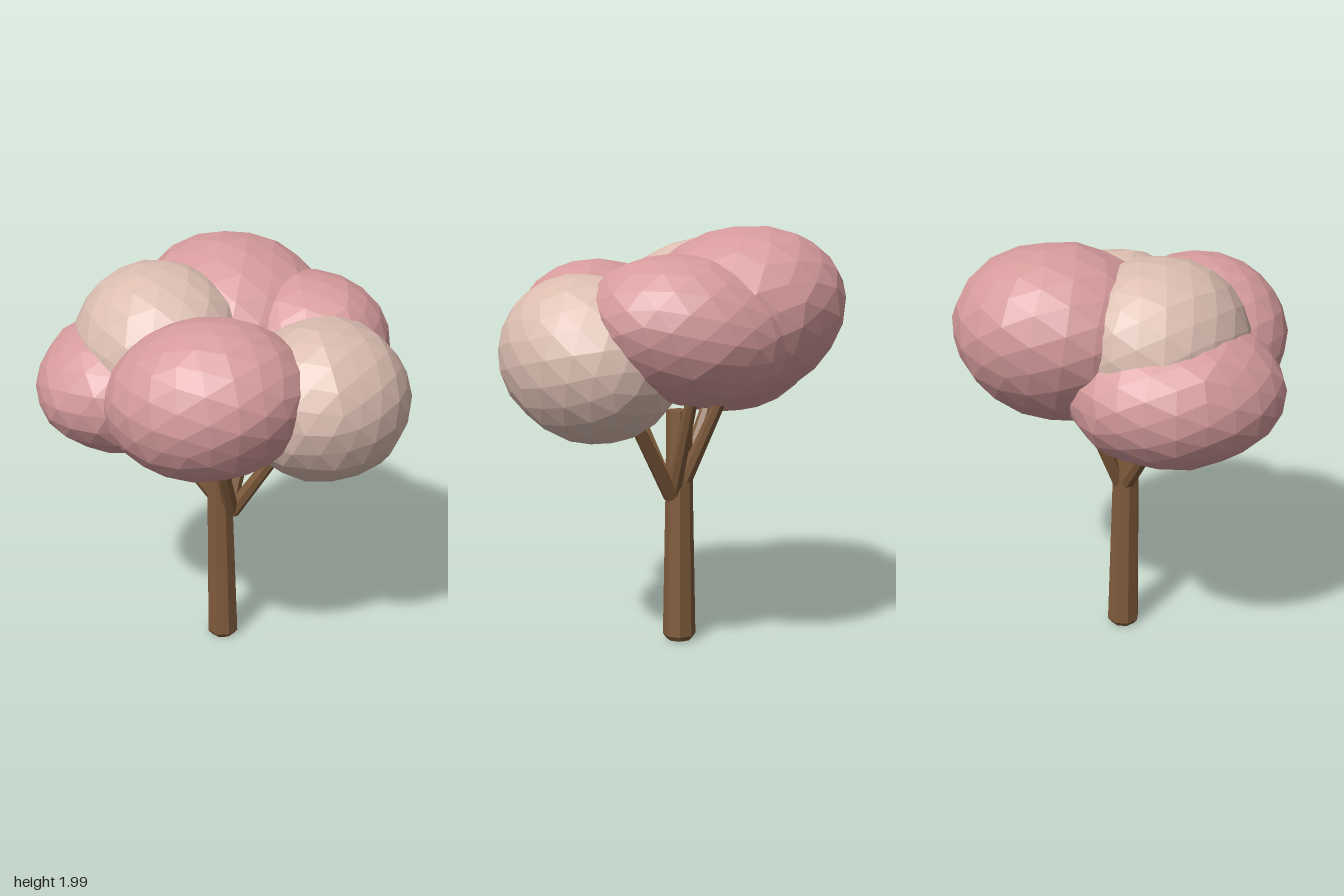
import * as THREE from 'three';

const material = (name, color) => {
  const m = new THREE.MeshStandardMaterial({ color, flatShading: true });
  m.name = name;
  return m;
};

// Low-poly ellipsoid with a gently lumpy surface
function foliageGeometry(radii, seed) {
  const geo = new THREE.IcosahedronGeometry(1, 3);
  const pos = geo.attributes.position;
  const v = new THREE.Vector3();
  for (let i = 0; i < pos.count; i++) {
    v.fromBufferAttribute(pos, i).normalize();
    const ripple = Math.sin(v.x * 11 + v.y * 9 + seed * 3) * Math.sin(v.z * 10 - v.y * 7 + seed);
    v.multiplyScalar(1 + 0.013 * ripple);
    pos.setXYZ(i, v.x * radii[0], v.y * radii[1], v.z * radii[2]);
  }
  geo.computeVertexNormals();
  return geo;
}

// Tapered limb between two points
function limb(name, from, to, r0, r1, sides, mat) {
  const a = new THREE.Vector3(...from);
  const b = new THREE.Vector3(...to);
  const dir = b.clone().sub(a);
  const mesh = new THREE.Mesh(new THREE.CylinderGeometry(r1, r0, dir.length(), sides), mat);
  mesh.name = name;
  mesh.position.copy(a).add(b).multiplyScalar(0.5);
  mesh.quaternion.setFromUnitVectors(new THREE.Vector3(0, 1, 0), dir.normalize());
  return mesh;
}

export function createModel() {
  const tree = new THREE.Group();
  tree.name = 'tree';
  const bark = material('bark brown', 0x7f5b3c);
  const pink = material('blossom pink', 0xd69b9c);
  const cream = material('blossom cream', 0xdbbdb0);

  // Trunk: slightly leaning, with a bevelled foot
  const trunk = new THREE.Mesh(new THREE.LatheGeometry([
    [0, 0], [0.062, 0], [0.08, 0.025], [0.066, 0.75], [0.062, 1.13], [0, 1.13],
  ].map(([r, y]) => new THREE.Vector2(r, y)), 8), bark);
  trunk.name = 'trunk';
  trunk.position.set(0.01, 0, -0.04);
  trunk.rotation.z = 0.02;
  tree.add(trunk);

  // Branches fanning out into the crown
  [
    ['branchBackLeft', [-0.02, 0.79, -0.06], [-0.27, 1.16, -0.21]],
    ['branchFrontLeft', [0.04, 0.72, 0.0], [-0.12, 1.18, 0.19]],
    ['branchFrontRight', [0.04, 0.72, 0.0], [0.23, 1.14, 0.19]],
    ['branchRight', [0.03, 0.74, -0.01], [0.2, 1.22, -0.09]],
    ['branchBack', [0.01, 0.78, -0.06], [0.1, 1.22, -0.24]],
  ].forEach(([name, from, to]) => tree.add(limb(name, from, to, 0.038, 0.029, 7, bark)));

  // Crown: overlapping tilted clumps (name, material, centre, radii, rotation)
  [
    ['clumpFrontLeft', pink, [-0.22, 1.48, 0.315], [0.455, 0.355, 0.4], [-0.3, -0.7, 0]],
    ['clumpFrontRight', cream, [0.32, 1.41, 0.375], [0.445, 0.37, 0.38], [0, 0.75, -0.27]],
    ['clumpRight', pink, [0.42, 1.54, -0.06], [0.395, 0.325, 0.465], [-0.2, 0.1, 0]],
    ['clumpBackTop', pink, [0.175, 1.585, -0.28], [0.485, 0.395, 0.515], [0.32, 0, 0]],
    ['clumpTopLeft', cream, [-0.24, 1.565, -0.17], [0.4, 0.38, 0.455], [0.12, 0, 0]],
    ['clumpBackLeft', pink, [-0.37, 1.395, -0.26], [0.48, 0.325, 0.415], [0, 0.75, 0]],
  ].forEach(([name, mat, centre, radii, rotation], i) => {
    const clump = new THREE.Mesh(foliageGeometry(radii, i * 1.37 + 0.6), mat);
    clump.name = name;
    clump.position.set(...centre);
    clump.rotation.set(...rotation);
    tree.add(clump);
  });

  return tree;
}
